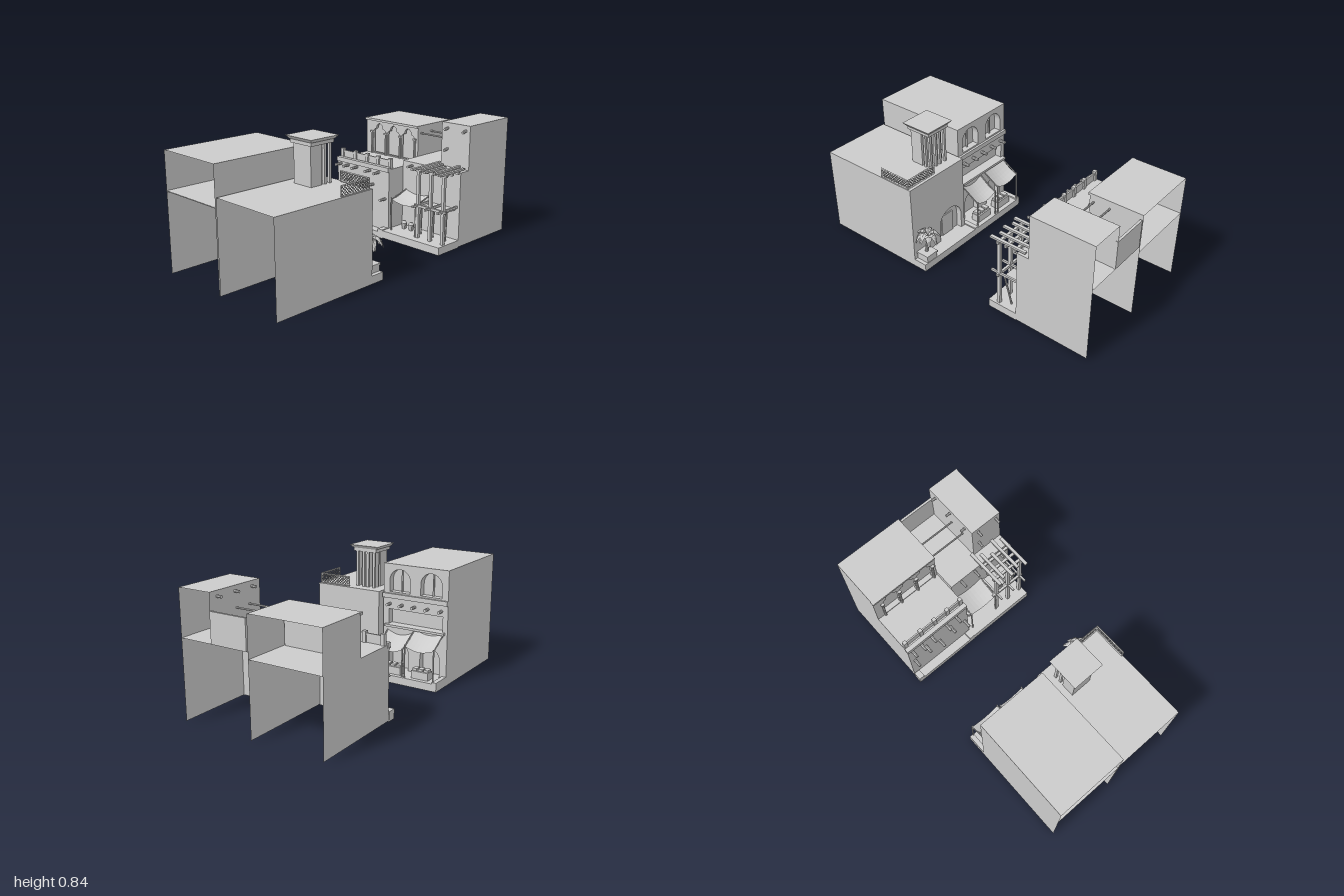
import * as THREE from 'three';

const mat = new THREE.MeshStandardMaterial({ color: 0xcccccc, side: THREE.DoubleSide, flatShading: true });

function add(parent, name, geo) {
  const m = new THREE.Mesh(geo, mat);
  m.name = name;
  parent.add(m);
  return m;
}
// Box given by its extents; faces listed in skip are left open (0 +x, 1 -x, 2 +y, 3 -y, 4 +z, 5 -z)
function box(parent, name, x0, x1, y0, y1, z0, z1, skip = []) {
  const g = new THREE.BoxGeometry(x1 - x0, y1 - y0, z1 - z0);
  g.translate((x0 + x1) / 2, (y0 + y1) / 2, (z0 + z1) / 2);
  const idx = Array.from(g.index.array).filter((_, i) => !skip.includes(Math.floor(i / 6)));
  g.setIndex(idx);
  g.clearGroups();
  return add(parent, name, g);
}
// Round pole between two points
function pole(parent, name, a, b, r, r2 = r, sides = 8) {
  const A = new THREE.Vector3(...a), B = new THREE.Vector3(...b);
  const m = add(parent, name, new THREE.CylinderGeometry(r2, r, A.distanceTo(B), sides));
  m.position.copy(A).lerp(B, 0.5);
  m.quaternion.setFromUnitVectors(new THREE.Vector3(0, 1, 0), B.sub(A).normalize());
  return m;
}
// Arched opening in the z-y plane
function arch(z, w, y0, yTop) {
  const p = new THREE.Path(), r = w / 2;
  p.moveTo(z - r, y0);
  p.lineTo(z + r, y0);
  p.lineTo(z + r, yTop - r);
  p.absarc(z, yTop - r, r, 0, Math.PI, false);
  p.lineTo(z - r, y0);
  return p;
}
function rectHole(z0, z1, y0, y1) {
  return new THREE.Path([[z0, y0], [z1, y0], [z1, y1], [z0, y1]].map(p => new THREE.Vector2(...p)));
}
// Street wall from x0 to x1 with openings
function facade(parent, name, x0, x1, y0, y1, z0, z1, holes = []) {
  const s = new THREE.Shape([[z0, y0], [z1, y0], [z1, y1], [z0, y1]].map(p => new THREE.Vector2(...p)));
  s.holes.push(...holes);
  const g = new THREE.ExtrudeGeometry(s, { depth: x1 - x0, bevelEnabled: false, curveSegments: 12 });
  g.rotateY(-Math.PI / 2).translate(x1, 0, 0);
  return add(parent, name, g);
}
// Sagging cloth sloping from the wall (xa, ya) to the outer edge (xb, yb)
function awning(parent, xa, xb, ya, yb, z0, z1, sag) {
  const g = new THREE.PlaneGeometry(1, 1, 6, 8), p = g.attributes.position;
  for (let i = 0; i < p.count; i++) {
    const u = p.getX(i) + 0.5, v = p.getY(i) + 0.5;
    const y = ya + (yb - ya) * u - sag * Math.sin(Math.PI * u) * 0.4 - sag * Math.sin(Math.PI * v);
    p.setXYZ(i, xa + (xb - xa) * u, y, z0 + (z1 - z0) * v);
  }
  g.computeVertexNormals();
  add(parent, 'awningCloth', g);
  for (const z of [z0, z1]) {
    pole(parent, 'awningArm', [xa, ya, z], [xb, yb, z], 0.004);
    pole(parent, 'awningPost', [xb, 0.05, z], [xb, yb + 0.01, z], 0.005);
  }
}
function palm(parent) {
  const g = new THREE.Group();
  g.name = 'palm';
  g.position.set(-0.245, 0, 0.405);
  parent.add(g);
  box(g, 'planter', -0.042, 0.042, 0.05, 0.1, -0.042, 0.042);
  box(g, 'planterRim', -0.047, 0.047, 0.088, 0.1, -0.047, 0.047);
  for (let i = 0; i < 6; i++) {
    const x = t => 0.018 * Math.sin(t / 4) - 0.005;
    pole(g, 'trunk', [x(i), 0.09 + i * 0.022, 0], [x(i + 1), 0.114 + i * 0.022, 0], 0.009, 0.013, 7);
  }
  for (let k = 0; k < 9; k++) {
    const leaf = new THREE.PlaneGeometry(1, 1, 5, 2), p = leaf.attributes.position;
    for (let i = 0; i < p.count; i++) {
      const t = p.getX(i) + 0.5, s = p.getY(i) * 2;
      const w = 0.004 + 0.016 * Math.sin(Math.PI * Math.min(1, t * 0.85 + 0.1));
      p.setXYZ(i, 0.078 * t, 0.05 * Math.sin(t * 2.6) - 0.045 * t * t - 0.008 * Math.abs(s), s * w);
    }
    leaf.computeVertexNormals();
    const m = add(g, 'palmLeaf', leaf);
    m.position.set(0.012, 0.222, 0);
    m.rotation.set(0, k * Math.PI * 2 / 9, k % 2 ? 0.25 : -0.1, 'YXZ');
  }
}
// Pierced screen made of crossing diagonals; u runs along x or z
function lattice(parent, alongX, fixed, u0, u1, y0, y1) {
  const P = (u, y) => alongX ? [u, y, fixed] : [fixed, y, u];
  const n = Math.round((u1 - u0) / 0.02), d = (u1 - u0) / n, h = (y1 - y0) / 3;
  for (const y of [y0, y1]) pole(parent, 'screenRail', P(u0, y), P(u1, y), 0.005, 0.005, 4);
  for (const u of [u0, u1]) pole(parent, 'screenPost', P(u, y0), P(u, y1), 0.005, 0.005, 4);
  for (let i = 0; i < n; i++) for (let j = 0; j < 3; j++) {
    const a = u0 + i * d, b = y0 + j * h;
    pole(parent, 'screenBar', P(a, b), P(a + d, b + h), 0.0025, 0.0025, 4);
    pole(parent, 'screenBar', P(a + d, b), P(a, b + h), 0.0025, 0.0025, 4);
  }
}

// Front house on the -x side, with door arch, roof tower and palm
function towerHouse() {
  const g = new THREE.Group();
  g.name = 'towerHouse';
  box(g, 'houseShell', -1, -0.29, 0, 0.565, 0, 0.472, [0, 1, 3]);
  facade(g, 'streetWall', -0.33, -0.29, 0, 0.565, 0, 0.472, [arch(0.13, 0.2, 0.05, 0.26)]);
  box(g, 'doorBack', -0.335, -0.328, 0.04, 0.28, 0.01, 0.25);
  box(g, 'doorLeaf', -0.328, -0.32, 0.05, 0.2, 0.08, 0.18);
  box(g, 'pavement', -0.29, -0.2, 0, 0.05, 0, 0.472, [3]);
  palm(g);
  lattice(g, true, 0.465, -0.53, -0.31, 0.57, 0.628);
  lattice(g, false, -0.31, 0.24, 0.465, 0.57, 0.628);
  const t = new THREE.Group();
  t.name = 'roofTower';
  g.add(t);
  box(t, 'towerCore', -0.515, -0.43, 0.565, 0.8, 0.075, 0.215);
  box(t, 'towerFin', -0.43, -0.37, 0.565, 0.8, 0.138, 0.152);
  for (const x of [-0.405, -0.365]) for (const z of [0.082, 0.128, 0.162, 0.208])
    box(t, 'towerColumn', x - 0.008, x + 0.008, 0.565, 0.8, z - 0.008, z + 0.008);
  box(t, 'towerBand', -0.525, -0.35, 0.8, 0.822, 0.06, 0.23);
  const cap = add(t, 'towerCap', new THREE.CylinderGeometry(0.15, 0.128, 0.02, 4).rotateY(Math.PI / 4));
  cap.position.set(-0.438, 0.832, 0.145);
  return g;
}
// Rear house on the -x side, with upper arches, long opening and market awnings
function marketHouse() {
  const g = new THREE.Group();
  g.name = 'marketHouse';
  box(g, 'houseShell', -1, -0.35, 0, 0.748, -0.475, -0.01, [0, 1, 3]);
  box(g, 'upperFloor', -1, -0.38, 0.503, 0.508, -0.475, -0.01);
  facade(g, 'streetWall', -0.38, -0.335, 0, 0.748, -0.475, -0.01, [
    arch(-0.13, 0.15, 0.565, 0.715), arch(-0.355, 0.15, 0.565, 0.715), rectHole(-0.44, -0.05, 0.35, 0.45),
    arch(-0.13, 0.14, 0.05, 0.23), arch(-0.355, 0.14, 0.05, 0.23)]);
  box(g, 'openingBack', -0.39, -0.38, 0, 0.74, -0.47, -0.015);
  box(g, 'ledge', -0.335, -0.32, 0.525, 0.555, -0.475, -0.01);
  box(g, 'sill', -0.335, -0.31, 0.335, 0.35, -0.46, -0.03);
  for (const z of [-0.13, -0.355]) box(g, 'archMullion', -0.372, -0.362, 0.565, 0.71, z - 0.004, z + 0.004);
  for (const z of [-0.43, -0.335, -0.24, -0.15, -0.06])
    pole(g, 'beamEnd', [-0.36, 0.485, z], [-0.29, 0.485, z], 0.01);
  box(g, 'pavement', -0.335, -0.2, 0, 0.05, -0.475, 0, [3]);
  for (const z of [-0.475, -0.035]) box(g, 'cornerStone', -0.335, -0.2, 0.05, 0.06, z, z + 0.03);
  awning(g, -0.335, -0.21, 0.31, 0.23, -0.225, -0.045, 0.025);
  awning(g, -0.335, -0.205, 0.34, 0.26, -0.45, -0.245, 0.025);
  for (const z of [-0.2, -0.4]) {
    box(g, 'stallCounter', -0.29, -0.23, 0.05, 0.1, z, z + 0.12);
    for (let i = 0; i < 3; i++) box(g, 'stallCrate', -0.285, -0.24, 0.1, 0.115, z + 0.005 + i * 0.04, z + 0.035 + i * 0.04);
  }
  return g;
}
// Front house on the +x side, with timber porch and roof terrace
function porchHouse() {
  const g = new THREE.Group();
  g.name = 'porchHouse';
  box(g, 'lowerShell', 0.51, 1, 0.015, 0.503, 0, 0.472, [0, 3]);
  box(g, 'upperShell', 0.59, 1, 0.503, 0.787, 0.252, 0.472, [0, 3]);
  box(g, 'terraceWall', 0.985, 1, 0.503, 0.685, 0.01, 0.255);
  box(g, 'porchBase', 0.31, 0.51, 0.01, 0.06, 0, 0.472, [0, 3]);
  for (const x of [0.685, 0.79]) pole(g, 'terracePole', [x, 0.66, 0], [x, 0.66, 0.26], 0.006);
  // beam ends of the upper block
  for (const x of [0.66, 0.8, 0.94]) pole(g, 'beamEnd', [x, 0.755, 0.26], [x, 0.755, 0.22], 0.009);
  for (const [y, z] of [[0.755, 0.3], [0.755, 0.44], [0.62, 0.3]])
    pole(g, 'beamEnd', [0.6, y, z], [0.555, y - 0.01, z], 0.009);
  // timber porch
  for (const z of [0.25, 0.35, 0.45]) box(g, 'porchPost', 0.363, 0.383, 0.06, 0.51, z - 0.01, z + 0.01);
  for (const x of [0.373, 0.43, 0.49]) box(g, 'porchBeam', x - 0.009, x + 0.009, 0.498, 0.512, 0.225, 0.472);
  for (const [i, z] of [0.24, 0.285, 0.34, 0.4, 0.455].entries())
    box(g, 'porchSlat', 0.315 + (i % 2) * 0.02, 0.6 - (i % 3) * 0.04, 0.512, 0.524, z - 0.01, z + 0.01);
  box(g, 'porchRail', 0.365, 0.381, 0.265, 0.281, 0.22, 0.472);
  for (const z of [0.25, 0.35, 0.45]) {
    box(g, 'porchTie', 0.315, 0.51, 0.27, 0.284, z - 0.006, z + 0.006);
    pole(g, 'porchBrace', [0.44, 0.06, z - 0.03], [0.41, 0.27, z], 0.006);
  }
  box(g, 'porchLoft', 0.4, 0.51, 0.255, 0.265, 0.26, 0.44);
  awning(g, 0.51, 0.365, 0.31, 0.27, 0.03, 0.235, 0.02);
  for (const z of [0.07, 0.13, 0.19]) {
    pole(g, 'jar', [0.45, 0.06, z], [0.45, 0.1, z], 0.014, 0.02, 10);
    pole(g, 'jarNeck', [0.45, 0.1, z], [0.45, 0.115, z], 0.02, 0.009, 10);
  }
  for (const [y, z] of [[0.48, 0.39], [0.48, 0.19], [0.48, 0.08]])
    pole(g, 'beamEnd', [0.53, y, z], [0.46, y, z], 0.009);
  return g;
}
// Rear house on the +x side, with balustrade and arcaded upper storey
function arcadeHouse() {
  const g = new THREE.Group();
  g.name = 'arcadeHouse';
  box(g, 'lowerShell', 0.37, 1, 0.01, 0.463, -0.472, 0, [0, 3]);
  box(g, 'terraceEdge', 0.36, 0.39, 0.445, 0.475, -0.475, 0);
  box(g, 'upperShell', 0.665, 1, 0.463, 0.71, -0.472, 0, [0, 1, 3]);
  box(g, 'eaves', 0.645, 0.67, 0.695, 0.71, -0.475, 0);
  const bays = [-0.09, -0.22, -0.35];
  // scalloped arches: one broad opening with a lobe on each shoulder
  facade(g, 'arcadeWall', 0.657, 0.675, 0.463, 0.7, -0.472, 0, bays.map(z => {
    const p = new THREE.Path();
    p.moveTo(z - 0.055, 0.47);
    p.lineTo(z + 0.055, 0.47);
    p.lineTo(z + 0.055, 0.61);
    p.quadraticCurveTo(z + 0.055, 0.64, z + 0.03, 0.64);
    p.quadraticCurveTo(z + 0.028, 0.672, z, 0.68);
    p.quadraticCurveTo(z - 0.028, 0.672, z - 0.03, 0.64);
    p.quadraticCurveTo(z - 0.055, 0.64, z - 0.055, 0.61);
    p.lineTo(z - 0.055, 0.47);
    return p;
  }));
  box(g, 'arcadeBack', 0.695, 0.7, 0.463, 0.7, -0.47, -0.005);
  for (const z of [-0.025, -0.155, -0.285, -0.415]) {
    pole(g, 'column', [0.652, 0.463, z], [0.652, 0.61, z], 0.008);
    box(g, 'capital', 0.641, 0.663, 0.61, 0.622, z - 0.011, z + 0.011);
  }
  // balustrade
  for (const z of [-0.455, -0.335, -0.225, -0.125, -0.02])
    box(g, 'balustradePost', 0.393, 0.417, 0.463, 0.53, z - 0.012, z + 0.012);
  box(g, 'balustradeRail', 0.4, 0.41, 0.505, 0.518, -0.46, -0.01);
  box(g, 'balustradePanel', 0.403, 0.407, 0.463, 0.505, -0.455, -0.02);
  box(g, 'pavement', 0.31, 0.37, 0.005, 0.045, -0.472, 0, [3]);
  for (const z of [-0.475, -0.04]) box(g, 'cornerStone', 0.31, 0.365, 0.005, 0.065, z, z + 0.04);
  for (const [y, z] of [[0.26, -0.03], [0.26, -0.235], [0.26, -0.44], [0.43, -0.44], [0.43, -0.37],
    [0.43, -0.29], [0.43, -0.17], [0.43, -0.09], [0.34, -0.14], [0.34, -0.34]])
    pole(g, 'beamEnd', [0.39, y, z], [0.315, y, z], 0.01);
  return g;
}

export function createModel() {
  const model = new THREE.Group();
  model.name = 'marketStreet';
  model.add(towerHouse(), marketHouse(), porchHouse(), arcadeHouse());
  return model;
}
